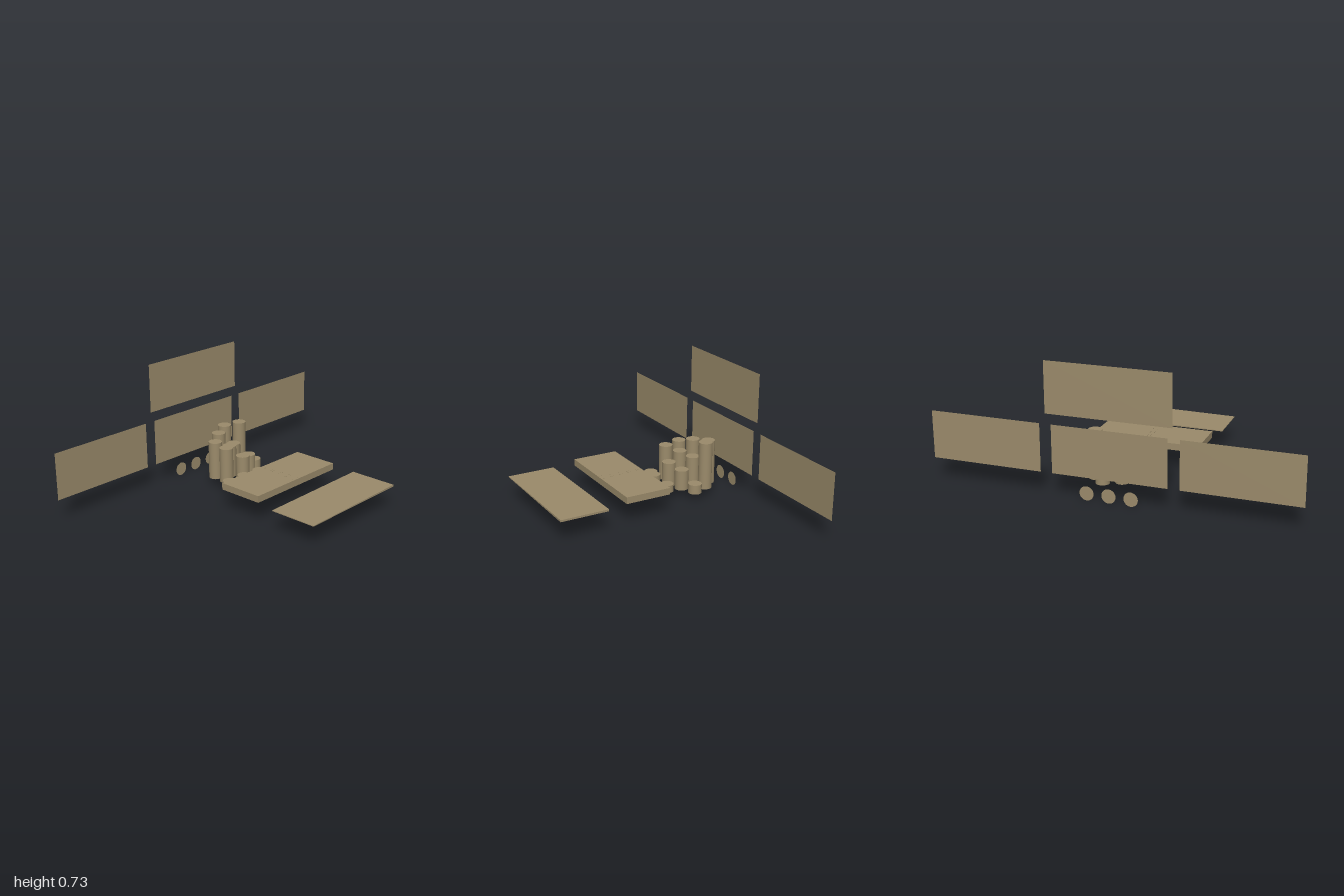
import * as THREE from 'three';

export function createModel() {
  const group = new THREE.Group();
  const tan = new THREE.MeshStandardMaterial({ color: 0x9a8a6a, side: THREE.DoubleSide });
  tan.name = 'tan';

  const add = (name, geometry, x, y, z) => {
    const mesh = new THREE.Mesh(geometry, tan);
    mesh.name = name;
    mesh.position.set(x, y, z);
    group.add(mesh);
    return mesh;
  };

  // Upright sheets along the back: three in a row and a larger one above
  const backZ = -0.6;
  for (const [name, x] of [['rightPanel', -0.69], ['middlePanel', -0.002], ['leftPanel', 0.687]]) {
    add(name, new THREE.PlaneGeometry(0.625, 0.265), x, 0.257, backZ);
  }
  add('upperPanel', new THREE.PlaneGeometry(0.68, 0.28), 0.002, 0.585, backZ);

  // Three flat discs below the middle sheet
  for (const x of [-0.12, 0, 0.12]) {
    add('disc', new THREE.CircleGeometry(0.039, 32), x, 0.039, backZ);
  }

  // Cluster of columns on one base level: x, z, top height
  const base = 0.042;
  const columns = [
    [0.093, -0.446, 0.296], [0, -0.402, 0.282], [0.155, -0.388, 0.314],
    [-0.075, -0.355, 0.26], [0.075, -0.355, 0.21], [0, -0.315, 0.226],
    [0.19, -0.3, 0.095], [-0.075, -0.267, 0.245], [0.105, -0.264, 0.157],
    [0.021, -0.231, 0.18], [-0.123, -0.197, 0.078], [-0.037, -0.165, 0.096],
    [0.096, -0.173, 0.085],
  ];
  for (const [x, z, top] of columns) {
    add('column', new THREE.CylinderGeometry(0.0385, 0.0385, top - base, 32), x, (top + base) / 2, z);
  }

  // Thick slab in the middle
  add('slab', new THREE.BoxGeometry(0.625, 0.038, 0.265), -0.002, 0.142, 0.068);

  // Two diverging rows of tiny marks on the slab's top and underside
  for (const side of [-1, 1]) {
    for (let i = 0; i < 5; i++) {
      const z = -0.035 + i * 0.055;
      for (const y of [0.1615, 0.1225]) {
        add('slabMark', new THREE.BoxGeometry(0.003, 0.002, 0.018), side * (0.005 + i * 0.0035), y, z);
      }
    }
  }

  // Thin front plate, slightly thicker towards its left side
  const profile = new THREE.Shape([
    new THREE.Vector2(-0.34, 0.122), new THREE.Vector2(0.342, 0.122),
    new THREE.Vector2(0.342, 0.133), new THREE.Vector2(-0.34, 0.126),
  ]);
  add('frontPlate', new THREE.ExtrudeGeometry(profile, { depth: 0.277, bevelEnabled: false }), 0, 0, 0.322);

  return group;
}
